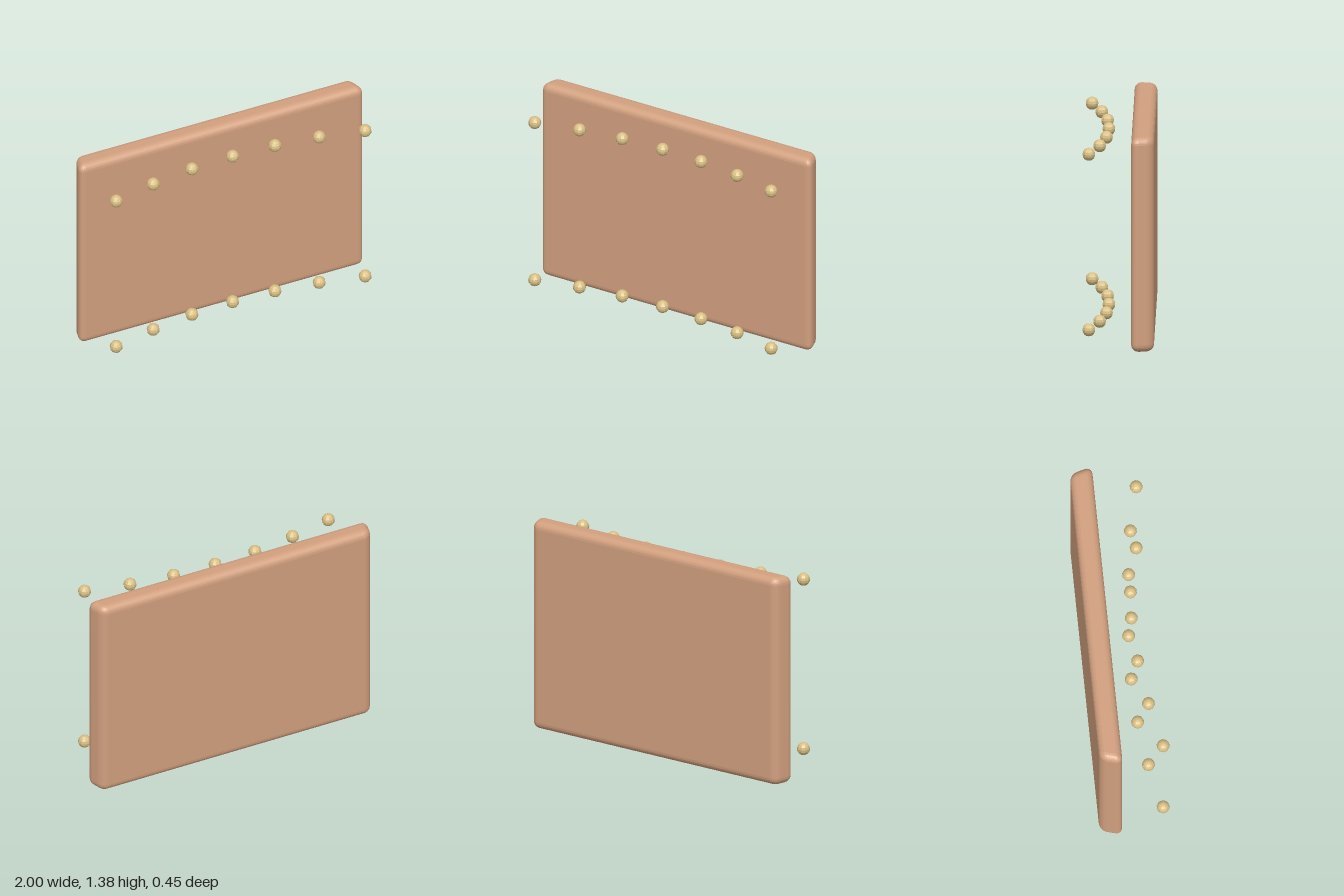
import * as THREE from 'three';
import { RoundedBoxGeometry } from 'three/addons/geometries/RoundedBoxGeometry.js';

export function createModel() {
  const model = new THREE.Group();
  const panelMaterial = new THREE.MeshStandardMaterial({ color: 0xd19f7e, flatShading: true });
  const studMaterial = new THREE.MeshStandardMaterial({ color: 0xd8bf84, flatShading: true });

  // Rounded slab whose sides lean inwards towards the back
  const width = 1.98, height = 1.385, depth = 0.145, lean = 0.28;
  const slab = new RoundedBoxGeometry(width, height, depth, 3, 0.048);
  const p = slab.attributes.position;
  for (let i = 0; i < p.count; i++) {
    const x = p.getX(i);
    p.setX(i, x * (1 + lean * p.getZ(i) / (width / 2)));
  }
  slab.computeVertexNormals();
  const panel = new THREE.Mesh(slab, panelMaterial);
  panel.name = 'panel';
  panel.position.set(0, height / 2, -0.157);
  model.add(panel);

  // Two curved rows of studs floating in front of the panel
  const ball = new THREE.SphereGeometry(0.042, 10, 8);
  const depths = [0.068, 0.08, 0.12, 0.185]; // from the middle outwards
  for (const [name, y] of [['lowerStuds', 0.128], ['upperStuds', 1.262]]) {
    const row = new THREE.Group();
    row.name = name;
    for (let i = -3; i <= 3; i++) {
      const stud = new THREE.Mesh(ball, studMaterial);
      stud.name = 'stud';
      stud.position.set(i * 0.293 - 0.002, y, depths[Math.abs(i)]);
      row.add(stud);
    }
    model.add(row);
  }
  return model;
}
